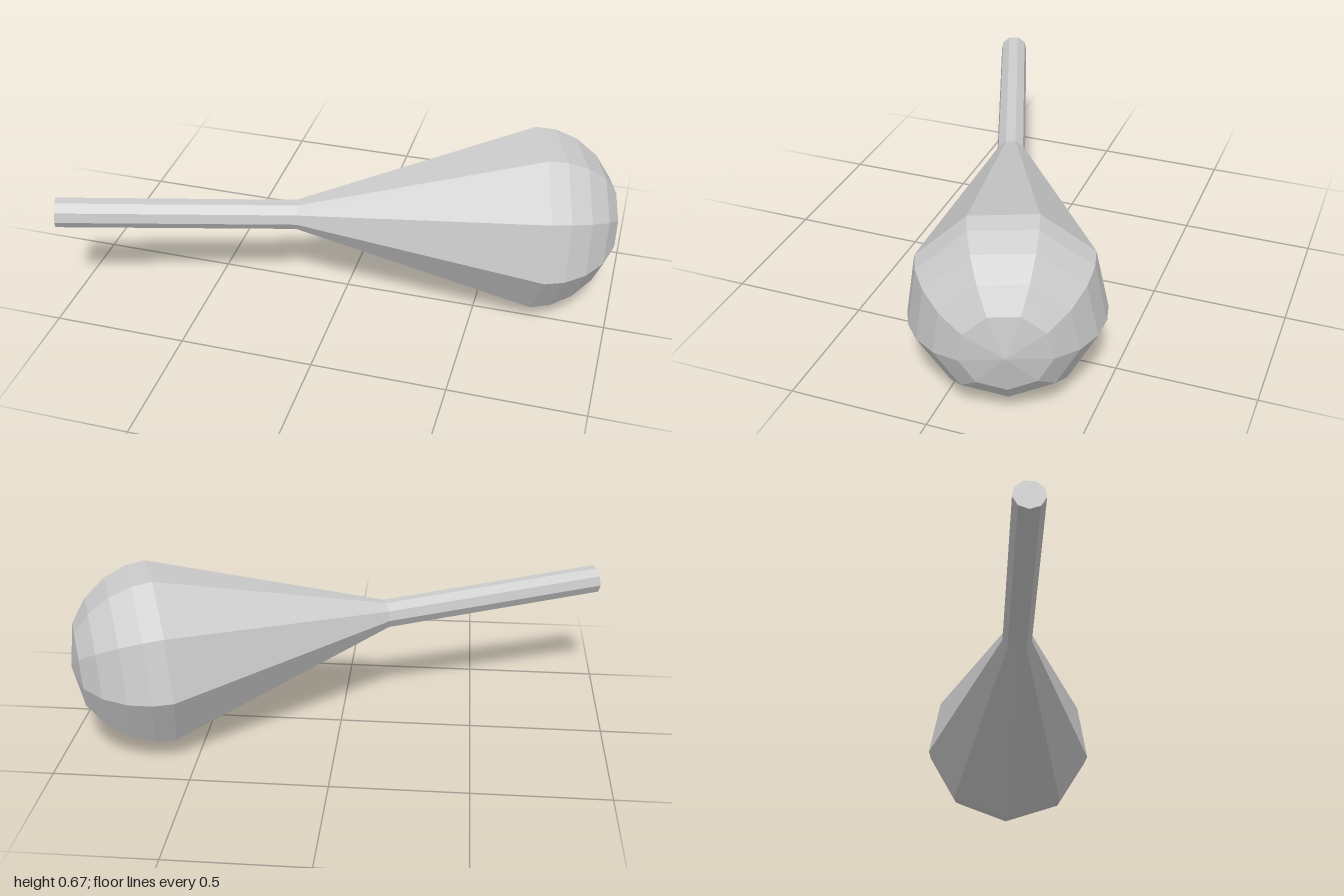
import * as THREE from 'three';

const SIDES = 9;

// Nine-sided turned part; points are [radius, distance along the axis]
function turned(name, points) {
  const profile = points.map(([r, t]) => new THREE.Vector2(r, t));
  const material = new THREE.MeshStandardMaterial({ color: 0xcccccc, flatShading: true });
  const mesh = new THREE.Mesh(new THREE.LatheGeometry(profile, SIDES), material);
  mesh.name = name;
  return mesh;
}

export function createModel() {
  const group = new THREE.Group();
  group.name = 'maraca';

  // Maraca built along its own y axis, origin at the widest ring of the head
  const maraca = new THREE.Group();
  maraca.name = 'tiltedBody';

  // Straight handle with a flat closed end
  maraca.add(turned('handle', [[0, -1.755], [0.055, -1.755], [0.055, -0.88]]));

  // Head: long cone from the neck, closed by a faceted dome
  maraca.add(turned('head', [
    [0.055, -0.88], [0.343, 0], [0.335, 0.075], [0.302, 0.158],
    [0.24, 0.238], [0.155, 0.297], [0, 0.325],
  ]));

  // Lay it on its side: axis points right, slightly down and back,
  // with one corner of the head facing the ground
  const axis = new THREE.Vector3(0.937, -0.063, -0.343).normalize();
  const down = new THREE.Vector3(0, -1, 0).addScaledVector(axis, axis.y).normalize();
  down.applyAxisAngle(axis, THREE.MathUtils.degToRad(1.5));
  const side = new THREE.Vector3().crossVectors(axis, down);
  maraca.quaternion.setFromRotationMatrix(new THREE.Matrix4().makeBasis(side, axis, down));
  maraca.position.set(0.665, 0.343, -0.16);

  group.add(maraca);
  return group;
}
